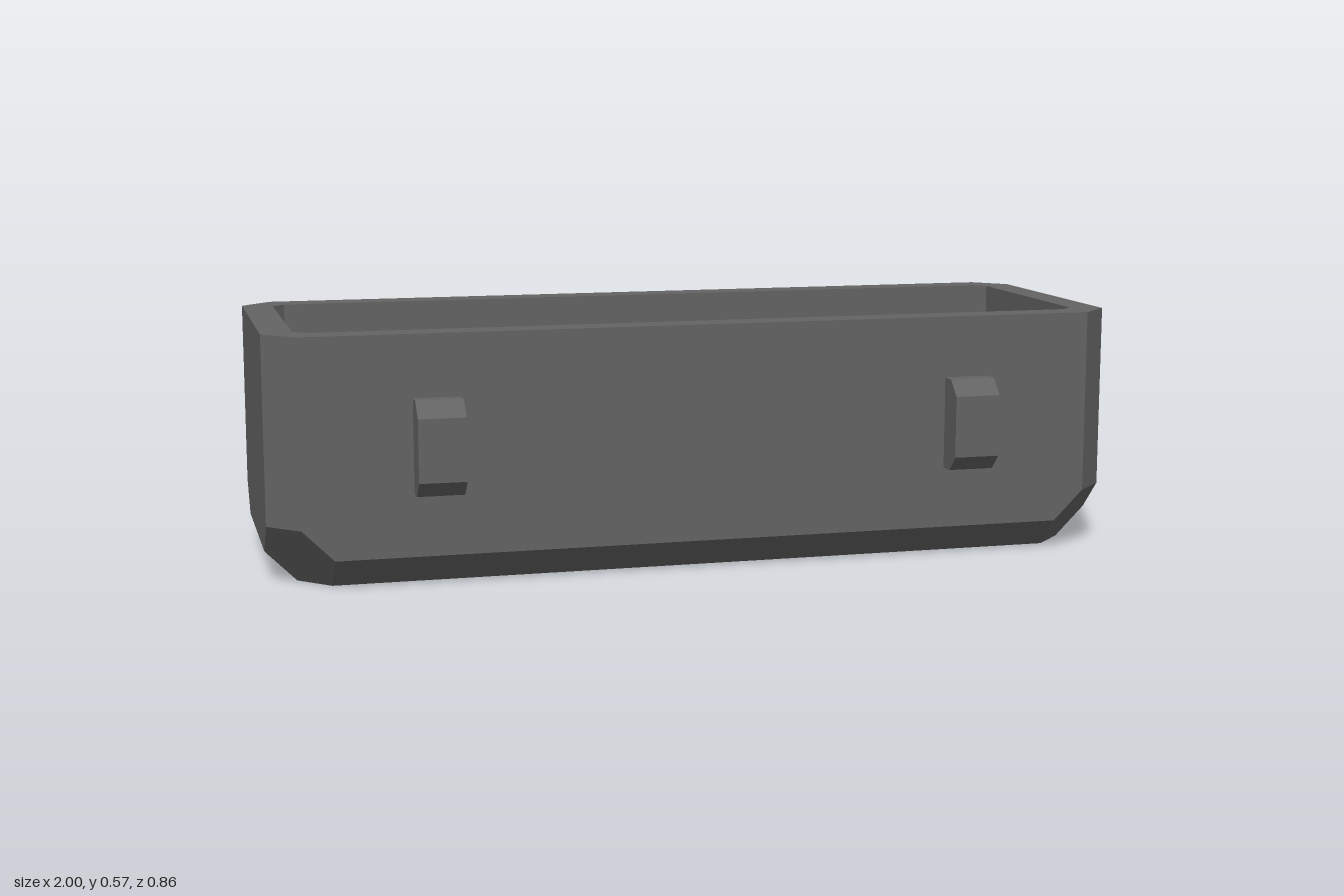
import * as THREE from 'three';

const U = 1 / 14; // design unit
const material = new THREE.MeshStandardMaterial({ color: 0x646464, flatShading: true });

// Chamfered rectangle at height y: half sizes w, d and corner cut c
function ring(w, d, c, y) {
  return [
    [w, -d + c], [w, d - c], [w - c, d], [-w + c, d],
    [-w, d - c], [-w, -d + c], [-w + c, -d], [w - c, -d],
  ].map(([x, z]) => [x * U, y * U, z * U]);
}

// Skin through the rings, closed with a cap at both ends
function loft(rings) {
  const pos = [];
  const tri = (a, b, c) => pos.push(...a, ...b, ...c);
  const n = rings[0].length;
  for (let r = 0; r < rings.length - 1; r++) {
    const a = rings[r], b = rings[r + 1];
    for (let i = 0; i < n; i++) {
      const j = (i + 1) % n;
      tri(a[i], b[i], b[j]);
      tri(a[i], b[j], a[j]);
    }
  }
  const first = rings[0], last = rings[rings.length - 1];
  for (let i = 1; i < n - 1; i++) {
    tri(first[0], first[i], first[i + 1]);
    tri(last[0], last[i + 1], last[i]);
  }
  const geometry = new THREE.BufferGeometry();
  geometry.setAttribute('position', new THREE.Float32BufferAttribute(pos, 3));
  geometry.computeVertexNormals();
  return geometry;
}

// Side lug: bevelled profile (outward, up) extruded across its width
function lugGeometry() {
  const profile = [[4.9, 3], [5.5, 3], [6, 3.5], [6, 5.5], [5.5, 6], [4.9, 6]];
  const shape = new THREE.Shape(profile.map(([x, y]) => new THREE.Vector2(x * U, y * U)));
  const width = 1.5 * U;
  return new THREE.ExtrudeGeometry(shape, { depth: width, bevelEnabled: false })
    .translate(0, 0, -width / 2)
    .rotateY(-Math.PI / 2);
}

export function createModel() {
  const group = new THREE.Group();

  // Open trough: bevelled outside, rim, then down the inside to the floor
  const trough = new THREE.Mesh(loft([
    ring(13, 4, 1, 0),
    ring(14, 5, 2, 1),
    ring(14, 5, 1, 2),
    ring(14, 5, 1, 8),
    ring(13, 4, 0.41, 8),
    ring(13, 4, 0.41, 2),
    ring(12, 3, 0.41, 1),
  ]), material);
  trough.name = 'trough';
  group.add(trough);

  // Two lugs on the front and two on the back
  const geometry = lugGeometry();
  for (const side of [1, -1]) {
    for (const x of [1, -1]) {
      const lug = new THREE.Mesh(geometry, material);
      lug.name = `${side > 0 ? 'front' : 'back'}${x > 0 ? 'Left' : 'Right'}Lug`;
      lug.position.x = x * 8.75 * U;
      lug.rotation.y = side > 0 ? 0 : Math.PI;
      group.add(lug);
    }
  }
  return group;
}
